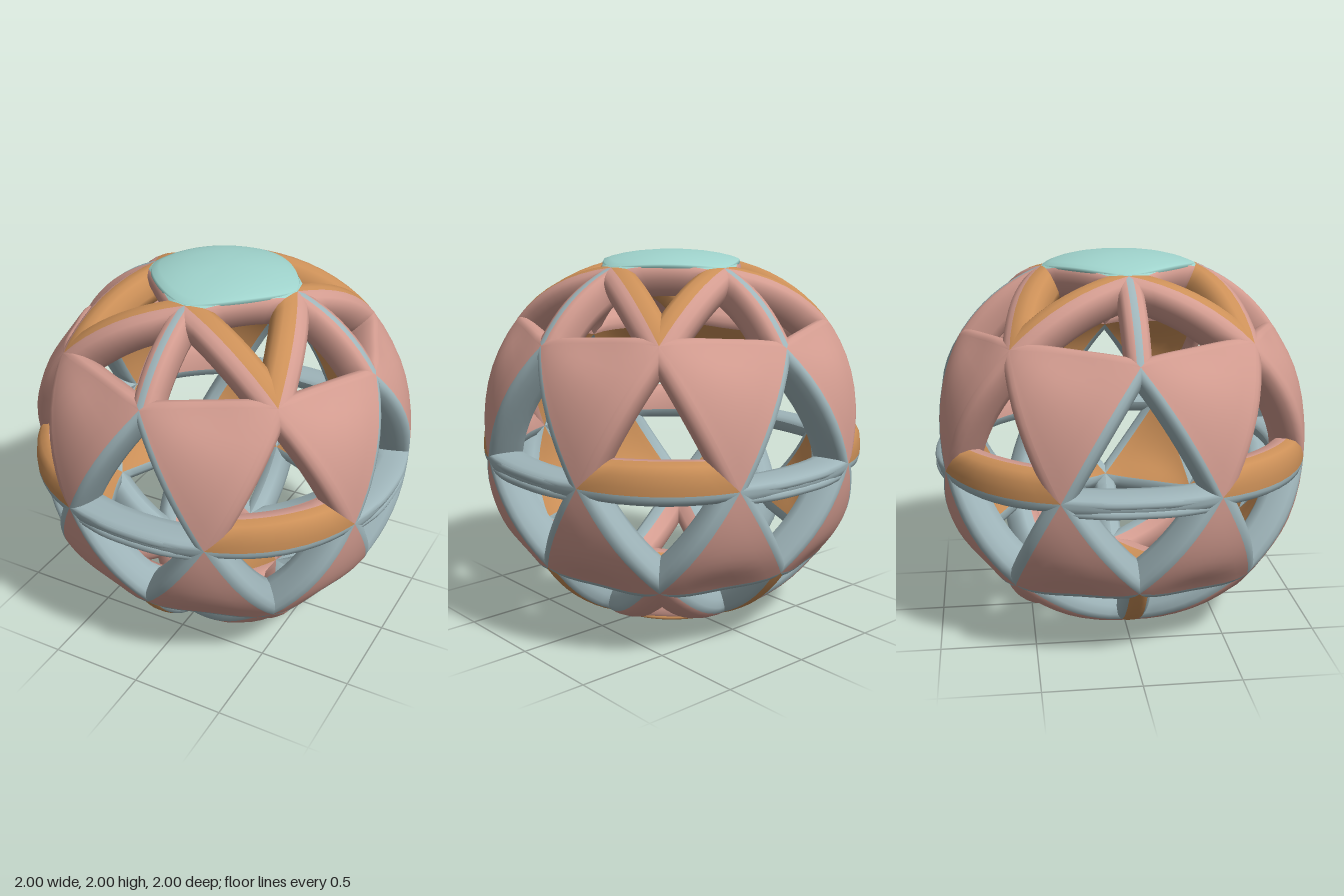
import * as THREE from 'three';
import { mergeGeometries, mergeVertices } from 'three/addons/utils/BufferGeometryUtils.js';

const POWER = 2.2, RADIUS = 0.995, INNER = 0.82, SEG = 8;

const material = (name, color) => {
  const m = new THREE.MeshStandardMaterial({ color });
  m.name = name;
  return m;
};

// Project a point (relative to the centre) onto the slightly squared sphere,
// flattened a little between the nodes of the upper and lower rings
function onShell(p, scale = 1) {
  const n = (Math.abs(p.x) ** POWER + Math.abs(p.y) ** POWER + Math.abs(p.z) ** POWER) ** (1 / POWER);
  const between = Math.sin(4 * Math.atan2(p.x, p.z)) ** 2;
  const dent = 0.03 * between * Math.exp(-(((Math.abs(p.y) / n - 0.62) / 0.12) ** 2));
  const q = p.clone().multiplyScalar(RADIUS * scale * (1 - dent) / n);
  q.y += 1;
  return q;
}

// Smooth grid; u x v points out of the surface
function grid(f, nu, nv) {
  const pos = [], idx = [];
  for (let j = 0; j <= nv; j++)
    for (let i = 0; i <= nu; i++) pos.push(...f(i / nu, j).toArray());
  for (let j = 0; j < nv; j++)
    for (let i = 0; i < nu; i++) {
      const a = j * (nu + 1) + i, b = a + 1, c = b + nu + 1, d = c - 1;
      idx.push(a, b, c, a, c, d);
    }
  const g = new THREE.BufferGeometry();
  g.setAttribute('position', new THREE.Float32BufferAttribute(pos, 3));
  g.setIndex(idx);
  g.computeVertexNormals();
  return g;
}

// Curved solid triangle, corners counter-clockwise from outside
function panel([A, B, C], scale) {
  return grid((u, j) => onShell(A.clone().lerp(C.clone().lerp(B, u), j / SEG), scale), SEG, SEG);
}

// Rounded square cap with a short skirt; side is 1 for the top, -1 for the bottom
function cap(side) {
  const rows = [[0, 1.004], [0.25, 1.005], [0.5, 1.006], [0.7, 1.006], [0.87, 1.005], [0.97, 1.002], [1, 0.99], [0.97, 0.95]];
  const q = 1.48;
  return grid((u, j) => {
    const a = -side * u * Math.PI * 2, s = Math.sin(a), c = Math.cos(a);
    const r = 0.415 * rows[j][0] / (Math.abs(s) ** q + Math.abs(c) ** q) ** (1 / q);
    const y = (RADIUS ** POWER - Math.abs(r * s) ** POWER - Math.abs(r * c) ** POWER) ** (1 / POWER);
    return onShell(new THREE.Vector3(r * s, side * y, r * c), rows[j][1]);
  }, 64, rows.length - 1);
}

// Rounded section of a half strut: [fraction of inset, shell scale]
const SECTION = [[0, 1], [0.25, 1], [0.6, 0.994], [0.88, 0.972], [1, 0.93], [1, 0.875], [0.75, 0.832], [0, INNER]];

// Point of the hole outline near corner i of triangle t, for a fraction k of the insets
function holeCorner(t, insets, i, k) {
  const [P, Q, S] = [t[i], t[(i + 1) % 3], t[(i + 2) % 3]];
  const area2 = Q.clone().sub(P).cross(S.clone().sub(P)).length();
  const wS = k * insets[i] * P.distanceTo(Q) / area2;
  const wQ = k * insets[(i + 2) % 3] * P.distanceTo(S) / area2;
  return P.clone().multiplyScalar(1 - wS - wQ).addScaledVector(Q, wQ).addScaledVector(S, wS);
}

export function createModel() {
  const group = new THREE.Group();
  const pink = material('dusty pink', 0xd39c90);
  const orange = material('ochre orange', 0xcc9058);
  const teal = material('pale teal', 0x9fd3cc);
  const grey = material('blue grey', 0x9fb5ba);

  const parts = new Map();
  function add(name, mat, geo) {
    const key = name + mat.name;
    if (!parts.has(key)) parts.set(key, { name, mat, list: [] });
    parts.get(key).list.push(geo);
  }

  // Open triangle; each edge is [inset, outer colour, wall colour, outer rows]
  function frame(name, t, edges) {
    const insets = edges.map(e => e[0]);
    edges.forEach(([, outer, wall, rows = 2], i) => {
      const g = grid((u, j) => {
        const [k, s] = SECTION[j];
        return onShell(holeCorner(t, insets, i, k).lerp(holeCorner(t, insets, (i + 1) % 3, k), u), s);
      }, SEG, SECTION.length - 1);
      const all = Array.from(g.index.array), cut = rows * SEG * 6;
      [[outer, all.slice(0, cut)], [wall, all.slice(cut)]].forEach(([mat, index]) => {
        const part = g.clone();
        part.setIndex(index);
        add(name, mat, part);
      });
    });
  }

  // Inner face of a solid triangle
  const lining = (name, t, mat) => add(name, mat, panel([t[0], t[2], t[1]], INNER));

  function solid(name, t) {
    add(name + 'Outside', pink, panel(t, 1));
    lining(name + 'Inside', t, orange);
  }

  // Nodes of the dome by angle in degrees, zero at the front
  const node = (deg, r, y) => {
    const a = deg * Math.PI / 180;
    const p = onShell(new THREE.Vector3(r * Math.sin(a), y, r * Math.cos(a)));
    p.y -= 1;
    return p;
  };
  const isDiagonal = deg => Math.abs(deg % 90) > 1;
  const top = d => node(d, 0.41, 0.93);
  const bottom = d => node(d, 0.41, -0.93);
  const upper = d => node(d, 0.86, isDiagonal(d) ? 0.625 : 0.58);
  const lower = d => node(d, 0.86, isDiagonal(d) ? -0.615 : -0.59);
  const belt = d => node(d, 1, -0.055);

  // Middle bands: eight open triangles and eight panels above and below the belt
  for (let d = 0; d < 360; d += 45) {
    const up = [belt(d - 22.5), belt(d + 22.5), upper(d)];
    const down = [belt(d + 22.5), belt(d - 22.5), lower(d)];
    if (isDiagonal(d)) {
      frame('upperFrame', up, [[0.145, orange, pink, 4], [0.07, pink, pink], [0.07, pink, pink]]);
      frame('lowerFrame', down, [[0.06, grey, grey], [0.07, grey, grey], [0.07, grey, grey]]);
    } else {
      frame('upperFrame', up, [[0.035, grey, grey], [0.05, grey, grey], [0.05, grey, grey]]);
      frame('lowerFrame', down, [[0.075, grey, grey], [0.055, grey, grey], [0.055, grey, grey]]);
    }
    const m = d + 22.5;
    solid('upperPanel', [upper(d), belt(m), upper(d + 45)]);
    solid('lowerPanel', [lower(d), lower(d + 45), belt(m)]);
  }

  // Caps
  add('topCap', teal, cap(1));
  add('bottomCap', orange, cap(-1));

  for (let d = 0; d < 360; d += 90) {
    // Top crown
    frame('crownFrame', [upper(d), upper(d + 45), top(d)],
      [[0.055, pink, pink], [0.085, pink, pink], [0.07, grey, pink, 1]]);
    frame('crownFrame', [upper(d - 45), upper(d), top(d)],
      [[0.055, pink, pink], [0.07, grey, pink, 1], [0.085, pink, pink]]);
    frame('crownFrame', [upper(d + 45), top(d + 90), top(d)],
      [[0.1, orange, orange], [0.09, teal, pink, 2], [0.1, orange, orange]]);
    lining('topCapInside', [new THREE.Vector3(0, RADIUS, 0), top(d), top(d + 90)], teal);

    // Bottom crown
    frame('baseFrame', [lower(d + 45), lower(d), bottom(d)],
      [[0.055, grey, grey], [0.075, orange, grey, 2], [0.085, pink, grey, 2]]);
    frame('baseFrame', [lower(d), lower(d - 45), bottom(d)],
      [[0.055, grey, grey], [0.085, pink, grey, 2], [0.075, orange, grey, 2]]);
    frame('baseFrame', [lower(d + 45), bottom(d), bottom(d + 90)],
      [[0.1, pink, pink], [0.09, orange, pink, 2], [0.1, pink, pink]]);
    lining('bottomCapInside', [new THREE.Vector3(0, -RADIUS, 0), bottom(d + 90), bottom(d)], orange);

    // Raised ribs along the belt struts on the four main sides
    for (const y of [-0.11, -0.06]) {
      const points = [-20, -10, 0, 10, 20].map(a => onShell(node(d + a, 1, y).setY(y), Math.abs(a) > 15 ? 0.972 : 0.98));
      add('beltRib', grey, new THREE.TubeGeometry(new THREE.CatmullRomCurve3(points), 16, 0.025, 8));
    }
  }

  // One mesh for each part and colour; panels and caps are smoothed across seams
  for (const { name, mat, list } of parts.values()) {
    list.forEach(g => g.deleteAttribute('uv'));
    let geo = mergeGeometries(list);
    if (/Cap|Panel/.test(name)) {
      geo.deleteAttribute('normal');
      geo = mergeVertices(geo, 1e-4);
      geo.computeVertexNormals();
    }
    const mesh = new THREE.Mesh(geo, mat);
    mesh.name = name;
    group.add(mesh);
  }
  return group;
}
